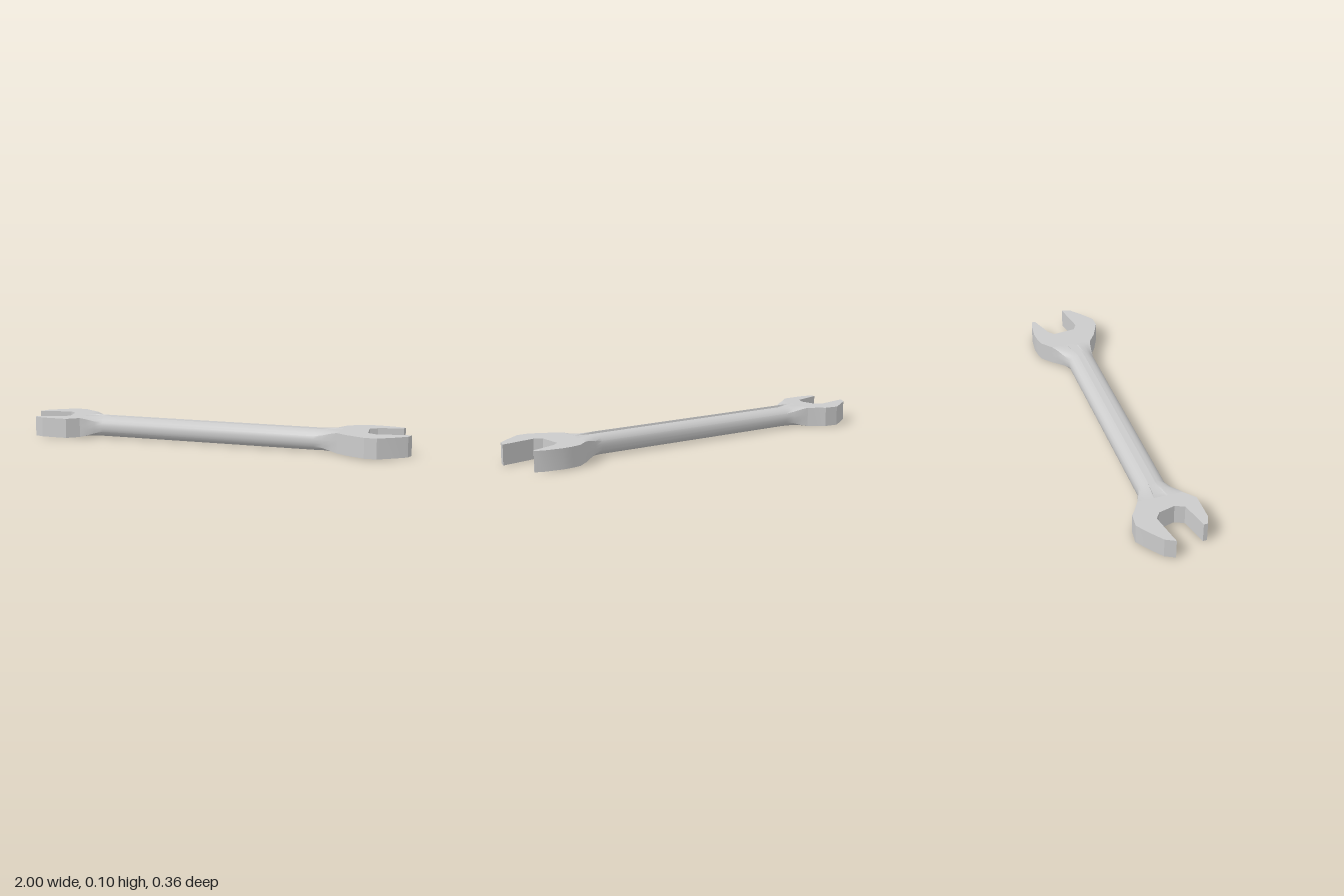
import * as THREE from 'three';
import { toCreasedNormals } from 'three/addons/utils/BufferGeometryUtils.js';

const MID = 0.0525; // half thickness of the handle
const steel = new THREE.MeshStandardMaterial({ color: 0xcccccc });

// Quarter cross-sections from the groove outwards, as fractions of half width / half height
const gripQuarter = [[0.25, 0.8], [0.29, 1], [0.37, 0.98], [0.6, 0.88], [0.8, 0.7], [0.94, 0.44], [1, 0.15]];
const boxQuarter = [[0.25, 0.945], [0.29, 0.945], [0.37, 0.945], [0.6, 0.945], [0.8, 0.945], [1, 0.945], [1, 0.2]];

// Jaw outlines seen from above, as [x, z]
const leftJaw = [
  [-0.7, -0.1], [-0.75, -0.13], [-0.78, -0.152], [-0.85, -0.16], [-0.91, -0.12], [-0.975, -0.07], [-1, -0.022],
  [-0.835, -0.055], [-0.8, -0.03], [-0.78, 0.05], [-0.8, 0.095], [-0.937, 0.13], [-0.937, 0.15],
  [-0.89, 0.168], [-0.755, 0.168], [-0.7, 0.12],
];
const rightJaw = [
  [0.65, -0.12], [0.705, -0.165], [0.75, -0.176], [0.8, -0.18], [0.89, -0.17], [0.936, -0.155], [0.93, -0.14],
  [0.81, -0.1], [0.775, -0.072], [0.79, 0.045], [0.83, 0.066], [1, 0.037], [0.99, 0.08], [0.935, 0.125],
  [0.86, 0.177], [0.8, 0.177], [0.705, 0.135], [0.65, 0.097],
];

// Handle stations: x, back z, front z, blend from grip (0) to flat head (1)
const stations = [
  [-0.7, -0.1, 0.12, 1], [-0.67, -0.088, 0.11, 0.75], [-0.63, -0.073, 0.094, 0.3], [-0.59, -0.06, 0.08, 0],
  [0.53, -0.06, 0.08, 0], [0.575, -0.077, 0.084, 0.3], [0.62, -0.1, 0.089, 0.75], [0.65, -0.12, 0.097, 1],
];

function section([x, back, front, blend]) {
  const q = gripQuarter.map(([u, v], i) => [
    THREE.MathUtils.lerp(u, boxQuarter[i][0], blend),
    THREE.MathUtils.lerp(v, boxQuarter[i][1], blend),
  ]);
  const r = [...q].reverse();
  const ring = [
    ...q, ...r.map(([u, v]) => [u, -v]),
    ...q.map(([u, v]) => [-u, -v]), ...r.map(([u, v]) => [-u, v]),
  ];
  const centre = (back + front) / 2, half = (front - back) / 2;
  return ring.map(([u, v]) => [x, MID * (1 + v), centre + u * half]);
}

function loft(rings) {
  const n = rings[0].length, index = [];
  for (let s = 0; s < rings.length - 1; s++) {
    for (let i = 0; i < n; i++) {
      const a = s * n + i, b = s * n + (i + 1) % n;
      index.push(a, b, a + n, b, b + n, a + n);
    }
  }
  const g = new THREE.BufferGeometry();
  g.setAttribute('position', new THREE.Float32BufferAttribute(rings.flat(2), 3));
  g.setIndex(index);
  return toCreasedNormals(g, 0.6);
}

function jaw(name, outline) {
  const shape = new THREE.Shape(outline.map(([x, z]) => new THREE.Vector2(x, -z)));
  const g = new THREE.ExtrudeGeometry(shape, { depth: MID * 2 * 0.945, bevelEnabled: false });
  g.rotateX(-Math.PI / 2).translate(0, MID * 0.055, 0);
  const mesh = new THREE.Mesh(toCreasedNormals(g, 0.35), steel);
  mesh.name = name;
  return mesh;
}

export function createModel() {
  const model = new THREE.Group();
  model.name = 'openEndedWrench';

  // Rounded handle with a raised-edge groove, flaring into both heads
  const handle = new THREE.Mesh(loft(stations.map(section)), steel);
  handle.name = 'handle';

  // Flat jaws, the right one larger, opening at opposite slants
  model.add(handle, jaw('leftJaw', leftJaw), jaw('rightJaw', rightJaw));
  return model;
}
